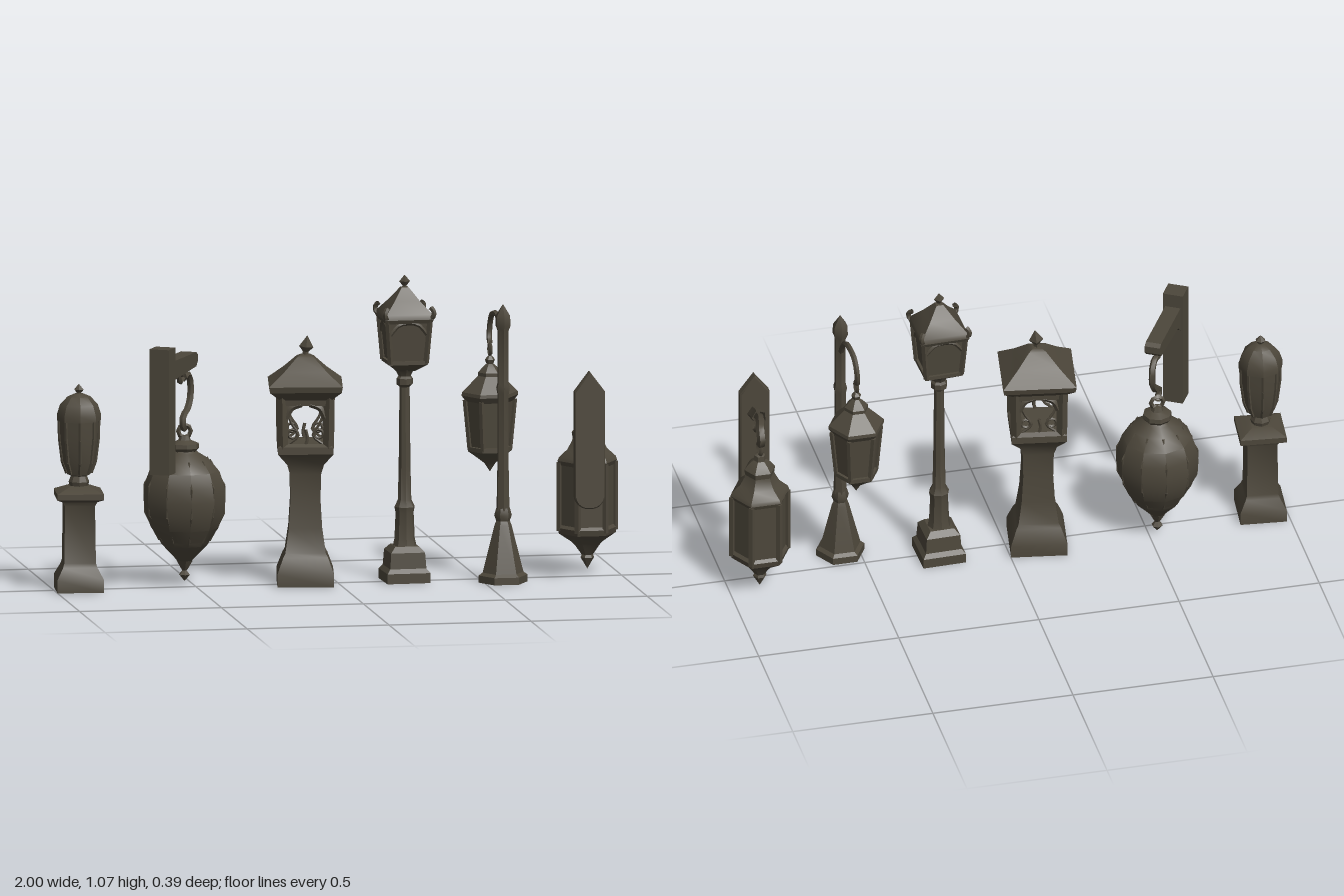
import * as THREE from 'three';
import { toCreasedNormals } from 'three/addons/utils/BufferGeometryUtils.js';

const iron = new THREE.MeshStandardMaterial({ color: 0x4d473b, side: THREE.DoubleSide });
iron.name = 'weathered iron';

const V = (x, y, z) => new THREE.Vector3(x, y, z);

function add(parent, name, geometry, crease = 0.55) {
  const mesh = new THREE.Mesh(toCreasedNormals(geometry, crease), iron);
  mesh.name = name;
  parent.add(mesh);
  return mesh;
}

function lamp(parent, name, x, z, yaw = 0) {
  const g = new THREE.Group();
  g.name = name;
  g.position.set(x, 0, z);
  g.rotation.y = yaw;
  parent.add(g);
  return g;
}

// Turned part from [radius, height] pairs, listed bottom to top
function turned(parent, name, profile, sides, spin = 0) {
  const geo = new THREE.LatheGeometry(profile.map(([r, y]) => new THREE.Vector2(r, y)), sides);
  geo.rotateY(spin);
  return add(parent, name, geo);
}

// Square part from [half width, height] pairs
function square(parent, name, profile) {
  return turned(parent, name, profile.map(([w, y]) => [w * Math.SQRT2, y]), 4, Math.PI / 4);
}

function strut(parent, name, a, b, r, sides = 4) {
  const mesh = add(parent, name, new THREE.CylinderGeometry(r, r, a.distanceTo(b), sides));
  mesh.position.copy(a).lerp(b, 0.5);
  mesh.quaternion.setFromUnitVectors(V(0, 1, 0), b.clone().sub(a).normalize());
  return mesh;
}

// Struts along the corners of a many-sided body
function ribs(parent, name, profile, sides, spin, r) {
  for (let i = 0; i < sides; i++) {
    const t = spin + (i / sides) * Math.PI * 2;
    const pts = profile.map(([d, y]) => V(Math.sin(t) * d, y, Math.cos(t) * d));
    for (let k = 1; k < pts.length; k++) strut(parent, name, pts[k - 1], pts[k], r);
  }
}

function tube(parent, name, pts, r, steps = 14) {
  const curve = new THREE.CatmullRomCurve3(pts.map(p => V(...p)));
  return add(parent, name, new THREE.TubeGeometry(curve, steps, r, 5), 0.9);
}

function ring(parent, name, x, y, z, r, thick, yaw = 0) {
  const mesh = add(parent, name, new THREE.TorusGeometry(r, thick, 4, 8), 0.9);
  mesh.position.set(x, y, z);
  mesh.rotation.y = yaw;
  return mesh;
}

// Short garden pedestal with an urn-shaped light
function pedestalLamp(root) {
  const g = lamp(root, 'pedestalLamp', -0.912, 0, -0.1);
  square(g, 'pedestal', [[0, 0], [0.081, 0], [0.081, 0.045], [0.06, 0.085], [0.055, 0.1], [0.052, 0.3],
    [0.06, 0.315], [0.081, 0.325], [0.081, 0.345], [0.035, 0.365], [0, 0.37]]);
  turned(g, 'neck', [[0, 0.355], [0.03, 0.36], [0.036, 0.38], [0.028, 0.4], [0.035, 0.405]], 8);
  turned(g, 'urn', [[0, 0.4], [0.04, 0.405], [0.056, 0.45], [0.066, 0.53], [0.069, 0.6], [0, 0.6]], 8);
  ribs(g, 'urnRib', [[0.042, 0.41], [0.057, 0.45], [0.067, 0.53], [0.069, 0.6]], 8, 0, 0.006);
  turned(g, 'dome', [[0, 0.592], [0.077, 0.594], [0.077, 0.615], [0.066, 0.65], [0.04, 0.678], [0.016, 0.688], [0, 0.69]], 8);
  turned(g, 'finial', [[0, 0.68], [0.009, 0.683], [0.009, 0.692], [0.018, 0.702], [0, 0.722]], 6);
}

// Big globe hanging from a beam
function globeLamp(root) {
  const g = lamp(root, 'globeLamp', -0.53, -0.055);
  turned(g, 'globe', [[0, 0.07], [0.024, 0.082], [0.05, 0.11], [0.08, 0.14], [0.088, 0.155], [0.118, 0.2], [0.137, 0.25],
    [0.144, 0.3], [0.14, 0.35], [0.122, 0.4], [0.088, 0.44], [0.052, 0.462], [0.04, 0.472]], 10);
  turned(g, 'bottomDrop', [[0, 0.012], [0.02, 0.035], [0.008, 0.05], [0.014, 0.058], [0.03, 0.085]], 6);
  turned(g, 'cap', [[0.04, 0.465], [0.052, 0.48], [0.05, 0.495], [0.022, 0.507], [0.016, 0.522], [0, 0.525]], 8);
  ribs(g, 'globeRib', [[0.088, 0.155], [0.137, 0.25], [0.14, 0.35], [0.088, 0.44]], 10, 0, 0.004);

  // The post and beam share a plane running toward the front and right
  const arm = lamp(g, 'wallBracket', 0, 0, Math.atan2(-0.115, 0.2));
  add(arm, 'post', new THREE.BoxGeometry(0.072, 0.44, 0.068)).position.set(0, 0.64, 0.228);
  const beam = new THREE.Shape();
  [[0.24, 0.71], [0.2, 0.715], [0.165, 0.745], [0.06, 0.752], [-0.045, 0.76], [-0.06, 0.775], [-0.06, 0.8], [-0.045, 0.81], [0.24, 0.81]]
    .forEach(([z, y], i) => (i ? beam.lineTo(-z, y) : beam.moveTo(-z, y)));
  const beamGeo = new THREE.ExtrudeGeometry(beam, { depth: 0.055, bevelEnabled: false });
  beamGeo.translate(0, 0, -0.0275).rotateY(Math.PI / 2);
  add(arm, 'beam', beamGeo);
  tube(arm, 'hook', [[0, 0.765, 0.03], [0, 0.725, 0.01], [0, 0.735, -0.03], [0, 0.71, -0.058], [0, 0.65, -0.06],
    [0, 0.61, -0.03], [0, 0.59, 0.015], [0, 0.56, 0.018], [0, 0.545, 0]], 0.012);
  tube(arm, 'hookCurl', [[0, 0.73, 0.01], [0, 0.715, 0.045], [0, 0.74, 0.06]], 0.009, 6);
  ring(arm, 'hangingRing', 0, 0.538, 0, 0.022, 0.008, 0.5);
}

// Stone pillar with an open lantern house
function pillarLamp(root) {
  const g = lamp(root, 'pillarLamp', -0.113, -0.008, -0.16);
  square(g, 'pillar', [[0, 0], [0.098, 0], [0.098, 0.045], [0.078, 0.1], [0.07, 0.115], [0.058, 0.2], [0.052, 0.3],
    [0.054, 0.39], [0.064, 0.425], [0.096, 0.465], [0.096, 0.49], [0.08, 0.5], [0, 0.5]]);
  ribs(g, 'cornerPost', [[0.112, 0.485], [0.116, 0.67]], 4, Math.PI / 4, 0.019);
  square(g, 'lintel', [[0, 0.635], [0.088, 0.635], [0.09, 0.665], [0, 0.665]]);
  square(g, 'roof', [[0, 0.65], [0.09, 0.655], [0.124, 0.685], [0.128, 0.705], [0.075, 0.75], [0.03, 0.795], [0.018, 0.802], [0, 0.805]]);
  const finial = turned(g, 'finial', [[0, 0], [0.012, 0.003], [0.01, 0.018], [0.025, 0.035], [0, 0.075]], 4);
  finial.position.y = 0.795;
  finial.rotation.z = -0.1;
  // Scrollwork in each opening
  for (let i = 0; i < 4; i++) {
    const side = lamp(g, 'scrollwork', 0, 0, (i * Math.PI) / 2);
    for (const s of [-1, 1]) {
      ring(side, 'scroll', s * 0.045, 0.535, 0.076, 0.016, 0.005);
      tube(side, 'scrollStem', [[s * 0.058, 0.5, 0.076], [s * 0.025, 0.53, 0.076], [s * 0.048, 0.57, 0.076], [s * 0.06, 0.6, 0.076]], 0.005, 8);
      tube(side, 'archBrace', [[s * 0.068, 0.59, 0.078], [s * 0.05, 0.625, 0.078], [s * 0.015, 0.64, 0.078]], 0.011, 6);
    }
    tube(side, 'centreSpike', [[0, 0.495, 0.076], [0.006, 0.52, 0.076], [0, 0.55, 0.076]], 0.006, 6);
  }
}

// Tall street lamp with a flared square lantern
function streetLamp(root) {
  const g = lamp(root, 'streetLamp', 0.237, -0.008, 0.03);
  square(g, 'base', [[0, 0], [0.076, 0], [0.076, 0.035], [0.064, 0.05], [0.06, 0.105], [0.042, 0.125], [0, 0.125]]);
  turned(g, 'column', [[0.044, 0.115], [0.036, 0.15], [0.032, 0.24], [0.036, 0.26], [0.024, 0.285], [0.021, 0.4], [0.018, 0.68],
    [0.029, 0.69], [0.029, 0.71], [0.022, 0.718], [0.03, 0.735], [0.06, 0.765], [0, 0.77]], 8);
  square(g, 'lanternFloor', [[0, 0.735], [0.03, 0.738], [0.068, 0.765], [0.068, 0.778], [0, 0.778]]);
  square(g, 'lanternPanes', [[0.058, 0.772], [0.072, 0.925]]);
  ribs(g, 'lanternCorner', [[0.089, 0.77], [0.106, 0.925]], 4, Math.PI / 4, 0.01);
  square(g, 'roof', [[0, 0.91], [0.08, 0.912], [0.086, 0.925], [0.082, 0.942], [0.045, 0.985], [0.012, 1.03], [0, 1.033]]);
  turned(g, 'finial', [[0.01, 1.02], [0.007, 1.035], [0.019, 1.05], [0, 1.073]], 4);
  for (let i = 0; i < 4; i++) {
    const corner = lamp(g, 'eaveCurl', 0, 0, Math.PI / 4 + (i * Math.PI) / 2);
    tube(corner, 'curl', [[0, 0.925, 0.095], [0, 0.935, 0.118], [0, 0.955, 0.12], [0, 0.965, 0.108]], 0.009, 7);
    // Arched pane top
    const side = lamp(g, 'paneArch', 0, 0, (i * Math.PI) / 2);
    tube(side, 'arch', [[-0.065, 0.87, 0.067], [-0.035, 0.905, 0.071], [0, 0.912, 0.072], [0.035, 0.905, 0.071], [0.065, 0.87, 0.067]], 0.007, 8);
  }
}

// Six-sided lantern; heights are measured from the eave
function hexLantern(parent, y, r, h, drop) {
  const g = lamp(parent, 'hexLantern', 0, 0);
  g.position.y = y;
  const spin = Math.PI / 6, low = -h;
  return { g, spin, low, drop, r };
}

// Pole with a crook and a hanging six-sided lantern
function crookLamp(root) {
  const g = lamp(root, 'crookLamp', 0.567, 0.085);
  turned(g, 'base', [[0, 0], [0.086, 0], [0.086, 0.025], [0.072, 0.035], [0.03, 0.2], [0.024, 0.215], [0.031, 0.235], [0.024, 0.26]], 6, Math.PI / 6);
  turned(g, 'pole', [[0.024, 0.25], [0.02, 0.45], [0.021, 0.66], [0.025, 0.68], [0.02, 0.7], [0.02, 0.88], [0.028, 0.9], [0.026, 0.935], [0, 0.975]], 6);
  tube(g, 'crook', [[0, 0.83, -0.01], [0, 0.875, -0.04], [0, 0.91, -0.085], [0, 0.922, -0.13], [-0.005, 0.91, -0.19],
    [-0.008, 0.865, -0.215], [-0.01, 0.825, -0.212], [-0.012, 0.812, -0.19]], 0.01);
  const l = lamp(g, 'lantern', -0.014, -0.178);
  const spin = Math.PI / 6;
  ring(l, 'hangingRing', 0, 0.79, 0, 0.02, 0.006, Math.PI / 2);
  turned(l, 'cap', [[0.042, 0.695], [0.042, 0.71], [0.024, 0.73], [0.012, 0.74], [0.018, 0.755], [0, 0.775]], 6, spin);
  turned(l, 'roof', [[0, 0.605], [0.085, 0.61], [0.1, 0.63], [0.098, 0.642], [0.06, 0.68], [0.04, 0.7]], 6, spin);
  turned(l, 'panes', [[0.066, 0.44], [0.082, 0.615]], 6, spin);
  ribs(l, 'corner', [[0.07, 0.44], [0.087, 0.615]], 6, spin, 0.009);
  turned(l, 'bottom', [[0, 0.362], [0.012, 0.38], [0.02, 0.392], [0.05, 0.415], [0.078, 0.435], [0.078, 0.45], [0, 0.455]], 6, spin);
}

// Wall plate with a horn bracket and a large six-sided lantern
function wallLamp(root) {
  const g = lamp(root, 'wallLamp', 0.893, -0.075);
  const plate = new THREE.Shape();
  plate.moveTo(-0.053, 0.67).lineTo(-0.053, 0.3);
  plate.quadraticCurveTo(-0.045, 0.258, 0, 0.258).quadraticCurveTo(0.045, 0.258, 0.053, 0.3);
  plate.lineTo(0.053, 0.67).lineTo(0, 0.74).lineTo(-0.053, 0.67);
  const plateGeo = new THREE.ExtrudeGeometry(plate, { depth: 0.024, bevelThickness: 0.005, bevelSize: 0.004, bevelOffset: -0.004, bevelSegments: 1, curveSegments: 5 });
  add(g, 'wallPlate', plateGeo).position.set(-0.033, 0, 0.208);
  // Horn arm narrows from plate to tip
  tube(g, 'armRoot', [[-0.03, 0.585, 0.215], [-0.03, 0.61, 0.16], [-0.025, 0.63, 0.11]], 0.026, 6);
  tube(g, 'arm', [[-0.028, 0.615, 0.14], [-0.02, 0.645, 0.08], [-0.008, 0.66, 0.02], [0, 0.655, -0.015], [0, 0.625, -0.03], [0, 0.6, -0.012]], 0.016);
  tube(g, 'armScroll', [[-0.028, 0.615, 0.15], [-0.022, 0.575, 0.125], [-0.02, 0.56, 0.15], [-0.022, 0.575, 0.165]], 0.01, 8);
  const spin = Math.PI / 6;
  ring(g, 'hangingRing', 0, 0.575, 0, 0.022, 0.008, Math.PI / 2);
  turned(g, 'cap', [[0.052, 0.475], [0.055, 0.495], [0.04, 0.515], [0.022, 0.53], [0.02, 0.55], [0, 0.56]], 6, spin);
  turned(g, 'roof', [[0, 0.38], [0.098, 0.38], [0.105, 0.395], [0.1, 0.408], [0.07, 0.435], [0.054, 0.465], [0.05, 0.48]], 6, spin);
  turned(g, 'panes', [[0.094, 0.155], [0.094, 0.385]], 6, spin);
  ribs(g, 'corner', [[0.098, 0.15], [0.098, 0.39]], 6, spin, 0.011);
  turned(g, 'bottom', [[0, 0.015], [0.012, 0.035], [0.024, 0.055], [0.02, 0.065], [0.045, 0.1], [0.055, 0.11], [0.1, 0.14], [0.105, 0.16], [0.094, 0.17], [0, 0.17]], 6, spin);
}

export function createModel() {
  const root = new THREE.Group();
  root.name = 'lanternSet';
  [pedestalLamp, globeLamp, pillarLamp, streetLamp, crookLamp, wallLamp].forEach(build => build(root));
  return root;
}
